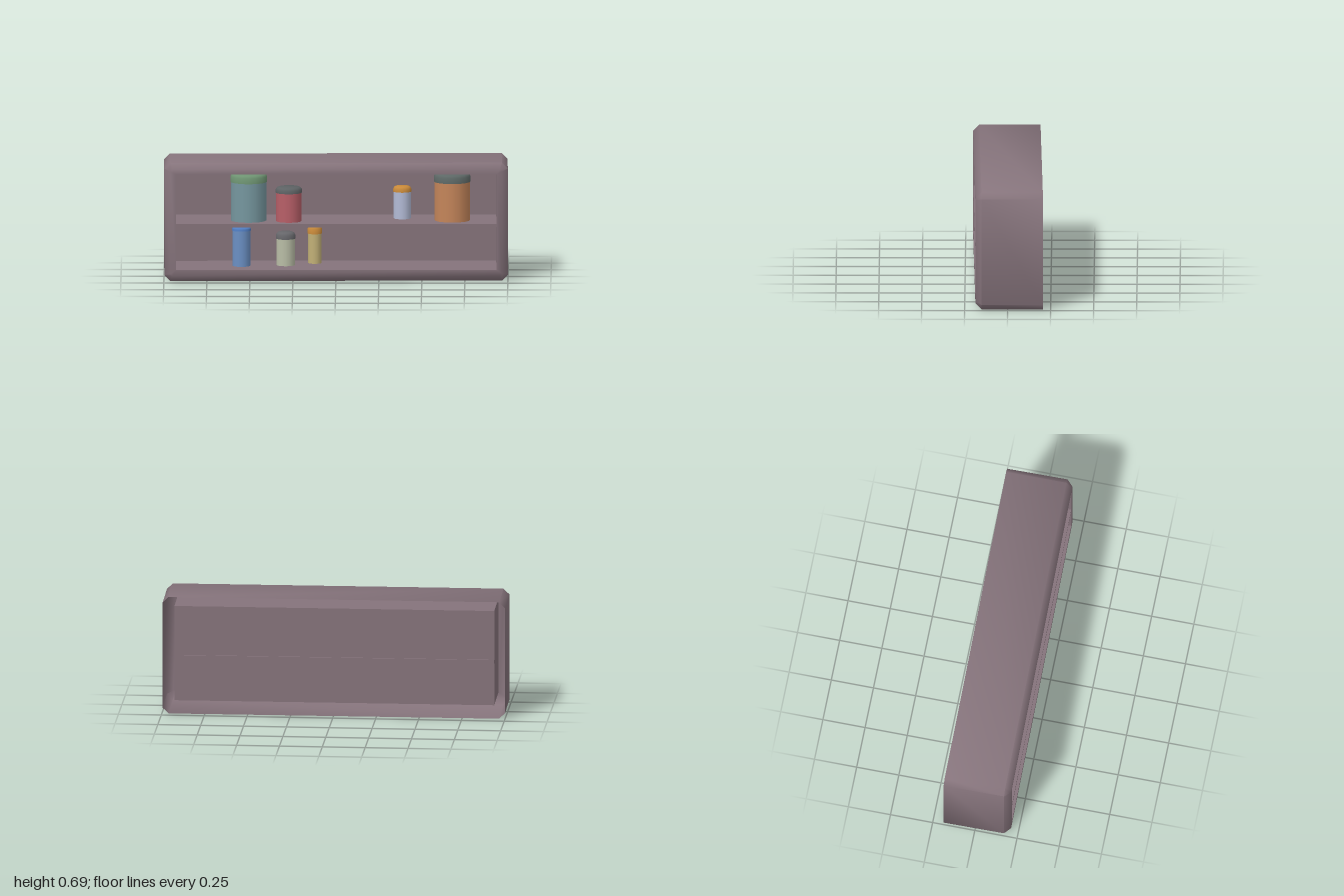
import * as THREE from 'three';
import { toCreasedNormals } from 'three/addons/utils/BufferGeometryUtils.js';

const mauve = new THREE.MeshStandardMaterial({ color: 0x85737b, side: THREE.DoubleSide });

// Rectangle with cut corners: half width, half height, corner cut, depth, centre height
function ring(w, h, c, z, cy) {
  return [
    [w - c, -h], [w, -h + c], [w, h - c], [w - c, h],
    [-w + c, h], [-w, h - c], [-w, -h + c], [-w + c, -h],
  ].map(([x, y]) => [x, cy + y, z]);
}

// Skin between successive rings, closing the last one
function loft(rings) {
  const pos = [];
  const tri = (...corners) => corners.forEach((p) => pos.push(...p));
  for (let i = 0; i < rings.length - 1; i++) {
    const a = rings[i], b = rings[i + 1];
    for (let j = 0; j < 8; j++) {
      const k = (j + 1) % 8;
      tri(a[j], a[k], b[k]);
      tri(a[j], b[k], b[j]);
    }
  }
  const end = rings[rings.length - 1];
  for (let j = 1; j < 7; j++) tri(end[0], end[j], end[j + 1]);
  const geo = new THREE.BufferGeometry();
  geo.setAttribute('position', new THREE.Float32BufferAttribute(pos, 3));
  return toCreasedNormals(geo, 0.9);
}

// Jar with a straight body and a bevelled lid
function jar(name, x, z, base, r, bodyTop, lidTop, bodyColor, lidColor) {
  const group = new THREE.Group();
  group.name = name;
  const body = new THREE.Mesh(
    new THREE.CylinderGeometry(r, r, bodyTop - base, 16),
    new THREE.MeshStandardMaterial({ color: bodyColor }));
  body.name = 'jarBody';
  body.position.y = (base + bodyTop) / 2;

  const h = lidTop - bodyTop, bevel = Math.min(0.018, h * 0.5), R = r + 0.003;
  const profile = [[0, 0], [R, 0], [R, h - bevel], [R - bevel * 0.4, h - bevel * 0.3], [R - bevel, h], [0, h]]
    .map(([px, py]) => new THREE.Vector2(px, py));
  const lid = new THREE.Mesh(
    toCreasedNormals(new THREE.LatheGeometry(profile, 16), 0.9),
    new THREE.MeshStandardMaterial({ color: lidColor }));
  lid.name = 'jarLid';
  lid.position.y = bodyTop;
  group.add(body, lid);
  group.position.set(x, 0, z);
  return group;
}

export function createModel() {
  const model = new THREE.Group();
  model.name = 'jarShelf';

  // Cabinet: open-backed outer shell, bevelled front rim, recessed compartment
  const cabinet = new THREE.Mesh(loft([
    ring(0.998, 0.347, 0.034, -0.195, 0.347),
    ring(0.998, 0.347, 0.034, 0.162, 0.347),
    ring(0.964, 0.313, 0.012, 0.197, 0.347),
    ring(0.932, 0.281, 0, 0.197, 0.35),
    ring(0.932, 0.281, 0, -0.15, 0.35),
  ]), mauve);
  cabinet.name = 'cabinet';
  model.add(cabinet);

  // Middle shelf, poking slightly through the back panel
  const shelf = new THREE.Mesh(new THREE.BoxGeometry(1.864, 0.02, 0.355), mauve);
  shelf.name = 'shelf';
  shelf.position.set(0, 0.33, 0.0185);
  model.add(shelf);

  // Jars: name, x, z, base, radius, body top, lid top, colours
  const up = 0.34, low = 0.069;
  [
    ['tealJar', -0.508, 0.05, up, 0.104, 0.567, 0.617, 0x76979f, 0x6e9472],
    ['redJar', -0.275, 0.08, up, 0.075, 0.508, 0.541, 0xb85f68, 0x5d6264],
    ['lavenderJar', 0.385, -0.02, up, 0.05, 0.497, 0.53, 0xb3bbd6, 0xc98a3a],
    ['orangeJar', 0.675, 0.05, up, 0.104, 0.567, 0.617, 0xc4855a, 0x5d6866],
    ['blueJar', -0.55, 0.03, low, 0.052, 0.277, 0.295, 0x6b90c4, 0x4f7cc0],
    ['creamJar', -0.293, 0.005, low, 0.054, 0.225, 0.265, 0xb9bda6, 0x66666a],
    ['yellowJar', -0.123, -0.07, low, 0.039, 0.243, 0.29, 0xc2b077, 0xc98a3a],
  ].forEach((spec) => model.add(jar(...spec)));

  // The whole piece hangs very slightly turned
  model.rotation.y = 0.01;
  return model;
}
